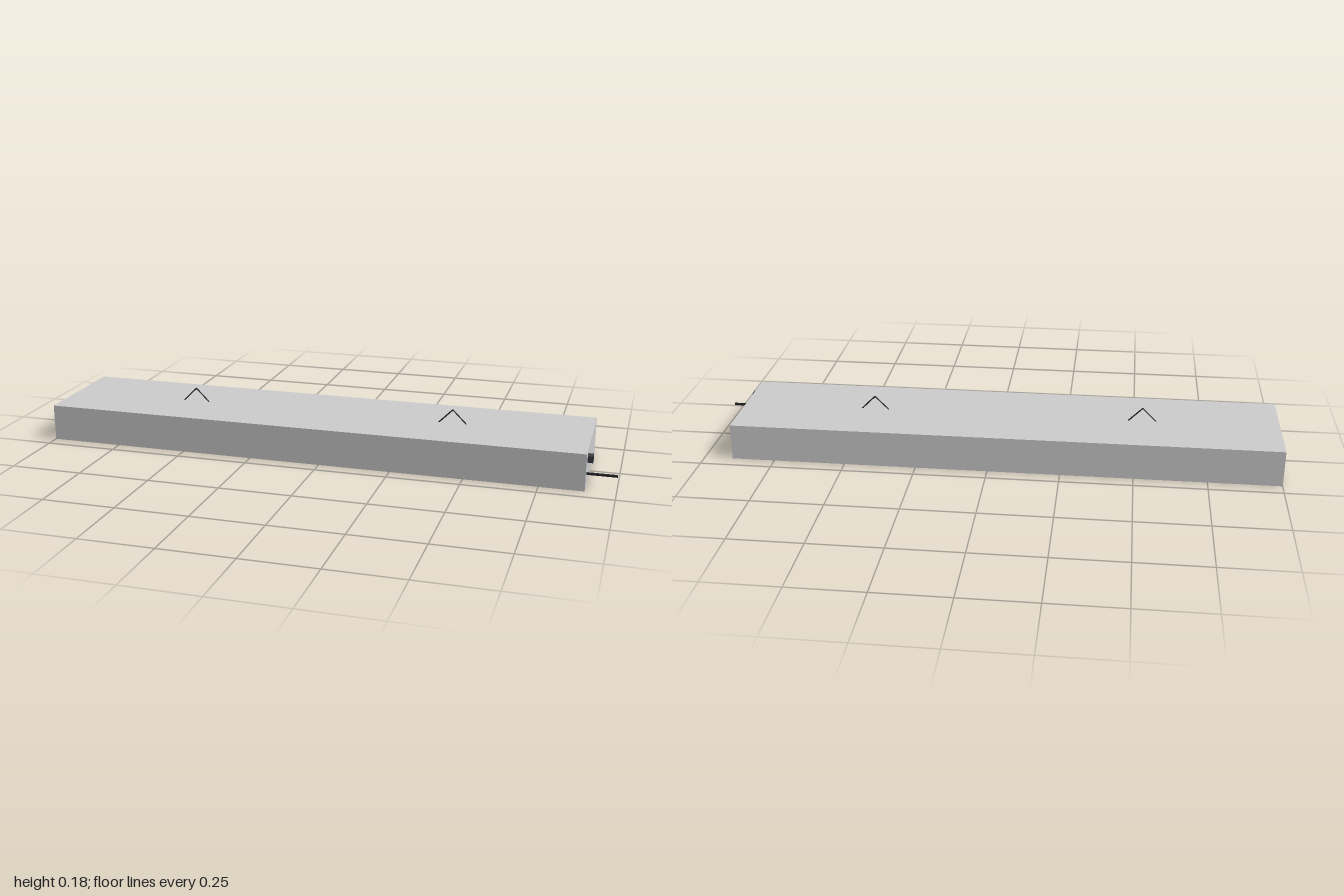
import * as THREE from 'three';

const grey = new THREE.MeshStandardMaterial({ color: 0xcccccc });
const dark = new THREE.MeshStandardMaterial({ color: 0x3a3d42 });
const black = new THREE.MeshStandardMaterial({ color: 0x1c1c20 });
const glass = new THREE.MeshStandardMaterial({ color: 0xd8c79a });

export function createModel() {
  const model = new THREE.Group();

  const add = (name, geometry, material, x, y, z, parent = model) => {
    const mesh = new THREE.Mesh(geometry, material);
    mesh.name = name;
    mesh.position.set(x, y, z);
    parent.add(mesh);
    return mesh;
  };
  const box = (name, w, h, d, x, y, z, material = grey, parent = model) =>
    add(name, new THREE.BoxGeometry(w, h, d), material, x, y, z, parent);
  // Cylinder lying along x
  const rod = (name, r, length, x, y, z, material, parent = model) =>
    add(name, new THREE.CylinderGeometry(r, r, length, 20).rotateZ(Math.PI / 2), material, x, y, z, parent);

  // Housing: a thin-walled box, open underneath
  const L = 1.9, W = 0.4, H = 0.127, T = 0.005, cx = -0.05;
  const housing = new THREE.Group();
  housing.name = 'housing';
  model.add(housing);
  box('topPanel', L, T, W, cx, H - T / 2, 0, grey, housing);
  for (const s of [-1, 1]) {
    box(s > 0 ? 'frontWall' : 'backWall', L, H - T, T, cx, (H - T) / 2, s * (W - T) / 2, grey, housing);
    box(s > 0 ? 'leftEndWall' : 'rightEndWall', T, H - T, W - 2 * T, cx + s * (L - T) / 2, (H - T) / 2, 0, grey, housing);
  }

  // Dark plate lining the inside of the top
  box('reflectorPlate', L - 2 * T, 0.004, W - 2 * T, cx, H - T - 0.002, 0, dark);

  // Four lamp tubes held between sockets on the end walls
  for (let i = 0; i < 4; i++) {
    const lamp = new THREE.Group();
    lamp.name = 'lamp';
    lamp.position.set(cx, 0.066, (i - 1.5) * 0.092);
    model.add(lamp);
    rod('tube', 0.0127, L - 0.04, 0, 0, 0, glass, lamp);
    for (const s of [-1, 1]) rod('socket', 0.02, 0.02, s * (L / 2 - T - 0.01), 0, 0, grey, lamp);
  }

  // Two wire hangers shaped like an inverted V
  for (const x of [-0.525, 0.425]) {
    const hanger = new THREE.Group();
    hanger.name = 'hanger';
    hanger.position.set(x, H, 0);
    model.add(hanger);
    const run = 0.048, rise = 0.048;
    for (const s of [-1, 1]) {
      const leg = add('hangerLeg', new THREE.CylinderGeometry(0.0023, 0.0023, Math.hypot(run, rise), 8),
        black, s * run / 2, rise / 2, 0, hanger);
      leg.rotation.z = s * Math.atan2(run, rise);
    }
  }

  // Switch and power cable on the left end
  box('switch', 0.018, 0.023, 0.031, 0.909, 0.096, 0.144, dark);
  rod('powerCable', 0.0045, 0.1, 0.95, 0.048, 0.16, black);

  return model;
}
